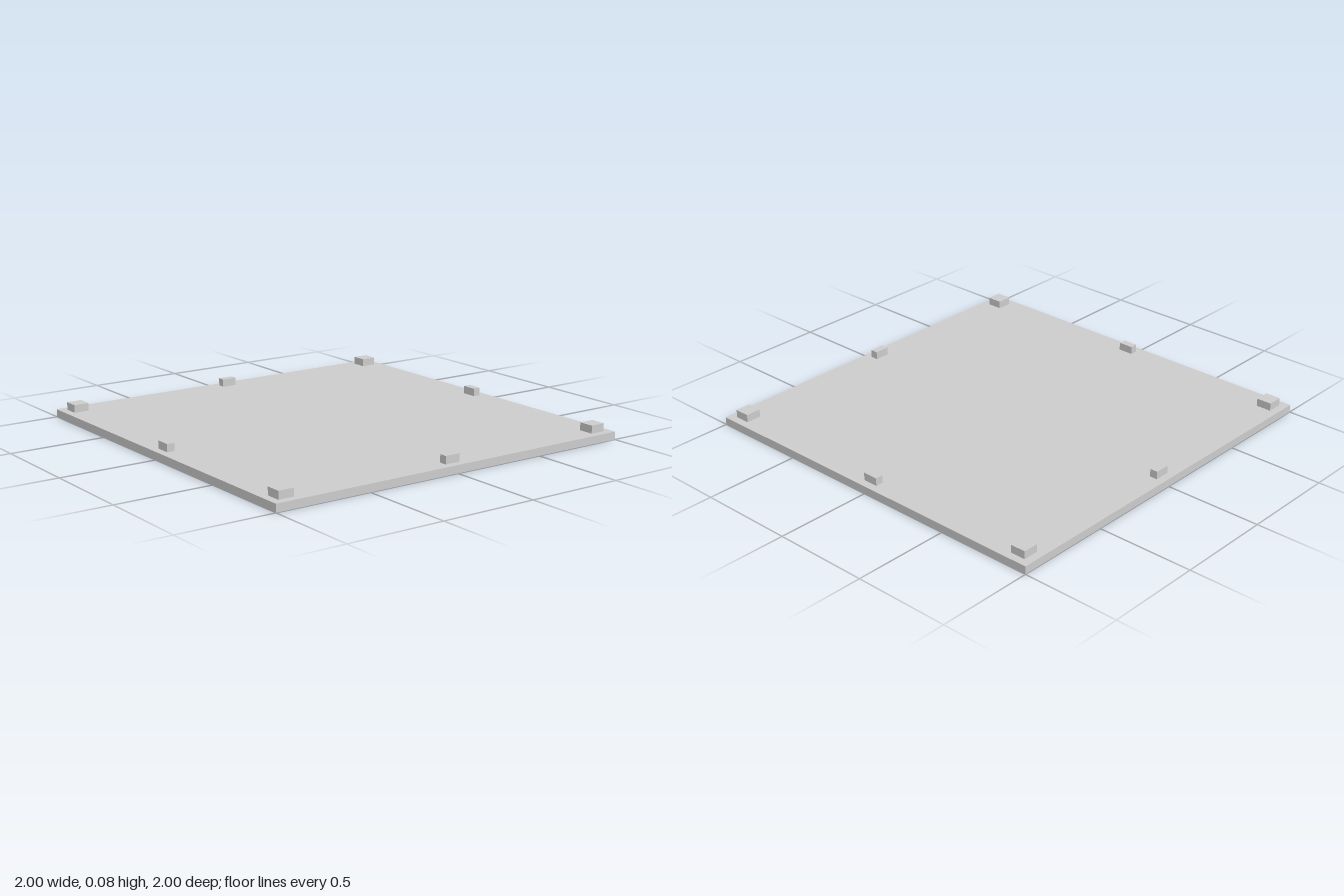
import * as THREE from 'three';

export function createModel() {
  const group = new THREE.Group();
  const material = new THREE.MeshStandardMaterial({ color: 0xcccccc, flatShading: true });
  const thickness = 0.04;

  // Box resting on height y
  function addBox(name, width, height, depth, x, y, z) {
    const mesh = new THREE.Mesh(new THREE.BoxGeometry(width, height, depth), material);
    mesh.name = name;
    mesh.position.set(x, y + height / 2, z);
    group.add(mesh);
  }

  // Square base plate
  addBox('basePlate', 2, thickness, 2, 0, 0, 0);

  for (const s of [-1, 1]) {
    // Square blocks at the corners
    for (const t of [-1, 1]) addBox('cornerBlock', 0.08, 0.04, 0.08, s * 0.92, thickness, t * 0.92);
    // Narrow blocks at the middle of each edge
    addBox('sideEdgeBlock', 0.04, 0.04, 0.08, s * 0.94, thickness, 0);
    addBox(s > 0 ? 'frontEdgeBlock' : 'backEdgeBlock', 0.08, 0.04, 0.04, 0, thickness, s * 0.94);
  }

  return group;
}
